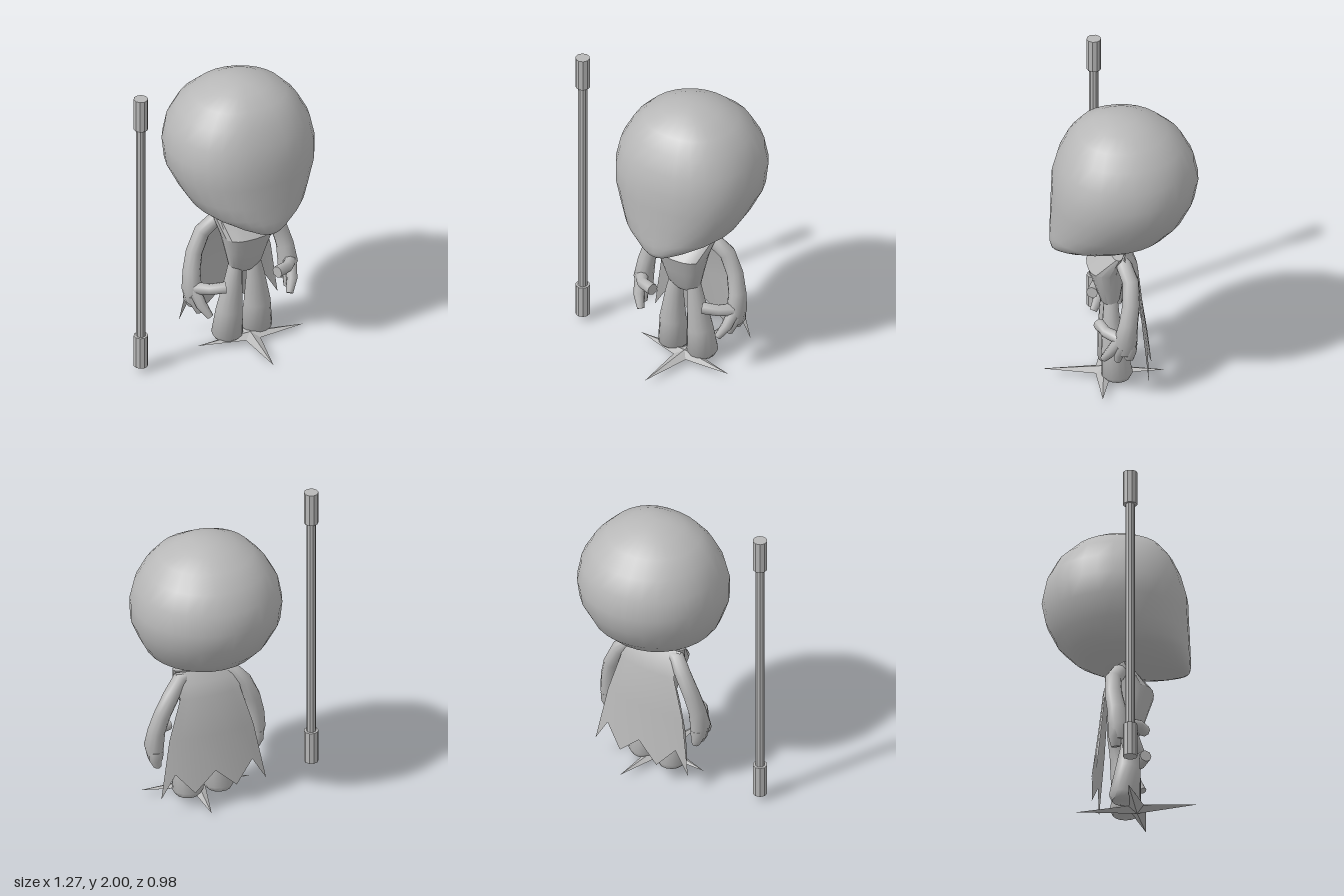
import * as THREE from 'three';
import { toCreasedNormals } from 'three/addons/utils/BufferGeometryUtils.js';

// Double sided because the cape is a single open sheet
const grey = new THREE.MeshStandardMaterial({ color: 0xb8b8b8, side: THREE.DoubleSide });
const V = (x, y, z) => new THREE.Vector3(x, y, z);

function add(parent, name, geometry) {
  const mesh = new THREE.Mesh(geometry, grey);
  mesh.name = name;
  parent.add(mesh);
  return mesh;
}

function build(points, index, crease) {
  const g = new THREE.BufferGeometry().setFromPoints(points);
  g.setIndex(index);
  g.computeVertexNormals();
  return toCreasedNormals(g, crease);
}

// Skin closed rings of points, closing both ends with a fan to a centre point
function loft(rings, start, end, crease = 0.8) {
  const n = rings[0].length, index = [], points = rings.flat();
  const centre = r => r.reduce((s, p) => s.add(p), V(0, 0, 0)).divideScalar(n);
  const first = points.length, last = first + 1, top = (rings.length - 1) * n;
  points.push(start || centre(rings[0]), end || centre(rings[rings.length - 1]));
  for (let i = 0; i < n; i++) {
    const j = (i + 1) % n;
    for (let k = 0; k < top; k += n) {
      index.push(k + i, k + n + i, k + j, k + j, k + n + i, k + n + j);
    }
    index.push(first, i, j, last, top + j, top + i);
  }
  return build(points, index, crease);
}

// Horizontal superellipse slice: height, half width, back z, front z
function slice([y, w, back, front], power, n) {
  const mid = (back + front) / 2, depth = (front - back) / 2;
  const round = (v, p) => Math.sign(v) * Math.abs(v) ** (2 / p);
  return Array.from({ length: n }, (_, i) => {
    const a = i / n * Math.PI * 2, c = Math.cos(a), s = Math.sin(a);
    const p = s > 0 ? power : 2;
    return V(w * round(c, p), y, mid + depth * round(s, p));
  });
}

// Tapered limb through [x, y, z, radius across, radius deep], mirrored by side
function limb(side, stations, n = 12) {
  const c = stations.map(s => V(side * s[0], s[1], s[2]));
  const rings = stations.map(([, , , ru, rw], k) => {
    const t = c[Math.min(k + 1, c.length - 1)].clone().sub(c[Math.max(k - 1, 0)]).normalize();
    const u = t.clone().cross(V(0, 0, 1)).normalize();
    const w = u.clone().cross(t);
    return Array.from({ length: n }, (_, i) => {
      const a = i / n * Math.PI * 2;
      return c[k].clone().addScaledVector(u, ru * Math.cos(a)).addScaledVector(w, rw * Math.sin(a));
    });
  });
  return loft(rings, null, null, 1.1);
}

function makeCape() {
  const hem = [[-0.355, 0.13], [-0.26, 0.29], [-0.14, 0.15], [0, 0.28], [0.14, 0.15], [0.26, 0.29], [0.355, 0.13]];
  // Each row: height, half width, z at the edges, z at the middle
  const rows = [[0.945, 0.2, 0, -0.03], [0.88, 0.2, -0.05, -0.075], [0.79, 0.205, -0.085, -0.11], [0.52, 0.285, -0.105, -0.14]];
  const points = [], index = [], n = hem.length;
  for (const [y, w, edge, mid] of rows) {
    hem.forEach(([x]) => {
      const u = x / 0.355;
      points.push(V(u * w, y, mid + (edge - mid) * u * u));
    });
  }
  hem.forEach(([x, y]) => points.push(V(x, y, -0.19 + 0.4 * x * x + (y - 0.15) * 0.12)));
  for (let r = 0; r < rows.length; r++) {
    for (let i = 0; i < n - 1; i++) {
      const a = r * n + i, b = a + n;
      index.push(a, a + 1, b, a + 1, b + 1, b);
    }
  }
  return build(points, index, 0.4);
}

function makeStar() {
  // Four long tips with short notches between them
  const outline = [];
  for (let i = 0; i < 4; i++) {
    const a = i * Math.PI / 2 + 0.13;
    const r = i % 2 ? 0.388 : 0.358;
    outline.push(V(r * Math.cos(a), 0.037, r * Math.sin(a)));
    outline.push(V(0.07 * Math.cos(a + 0.785), 0.035, 0.07 * Math.sin(a + 0.785)));
  }
  return loft([outline], V(0, 0, 0), V(0, 0.062, 0), 0.1);
}

function makeStaff() {
  const staff = new THREE.Group();
  staff.name = 'staff';
  const pieces = [['shaft', 0.03, 0.2, 1.82], ['lowerGrip', 0.046, 0.04, 0.26], ['upperGrip', 0.046, 1.78, 2]];
  for (const [name, r, y0, y1] of pieces) {
    const g = new THREE.CylinderGeometry(r, r, y1 - y0, 10);
    add(staff, name, toCreasedNormals(g, 0.3)).position.y = (y0 + y1) / 2;
  }
  staff.position.set(-0.592, 0, 0.078);
  return staff;
}

export function createModel() {
  const model = new THREE.Group();
  model.name = 'figureWithStaff';
  const body = new THREE.Group();
  body.name = 'figure';
  body.position.x = 0.16;
  model.add(body, makeStaff());

  // Large head with a flattened face and a low chin
  const head = [
    [0.95, 0.05, 0.24, 0.41], [0.97, 0.12, 0.03, 0.435], [1.0, 0.2, -0.1, 0.443],
    [1.05, 0.3, -0.24, 0.443], [1.09, 0.355, -0.31, 0.44], [1.18, 0.405, -0.4, 0.437],
    [1.32, 0.468, -0.468, 0.43], [1.45, 0.475, -0.493, 0.425], [1.58, 0.45, -0.465, 0.39],
    [1.7, 0.385, -0.4, 0.335], [1.79, 0.3, -0.3, 0.265], [1.85, 0.185, -0.19, 0.17],
    [1.878, 0.09, -0.1, 0.09],
  ];
  add(body, 'head', loft(head.map(s => slice(s, 2.3, 28)), null, V(0, 1.886, 0), 1.2));
  add(body, 'neck', new THREE.CylinderGeometry(0.05, 0.05, 0.16, 12)).position.set(0, 0.97, 0.03);

  // Torso tapering from the shoulders to the hips
  const torso = [
    [0.52, 0.06, 0.03, 0.1], [0.57, 0.11, 0.0, 0.13], [0.69, 0.14, -0.02, 0.17],
    [0.81, 0.172, -0.04, 0.21], [0.95, 0.208, -0.02, 0.075],
  ];
  add(body, 'torso', loft(torso.map(s => slice(s, 2.6, 20)), null, null, 0.5));
  add(body, 'cape', makeCape());
  add(body, 'floorStar', makeStar()).position.set(0.02, 0.004, 0.105);

  // Limbs on both sides
  for (const [side, label] of [[1, 'left'], [-1, 'right']]) {
    add(body, label + 'Leg', limb(side, [
      [0.105, 0.035, 0.03, 0.08, 0.08], [0.105, 0.065, 0.03, 0.1, 0.1], [0.1, 0.25, 0.05, 0.085, 0.08],
      [0.08, 0.45, 0.065, 0.06, 0.055], [0.065, 0.57, 0.065, 0.045, 0.045],
    ], 14));
    add(body, label + 'Arm', limb(side, [
      [0.335, 0.35, 0.0, 0.045, 0.06], [0.345, 0.44, 0.005, 0.06, 0.075], [0.335, 0.56, -0.015, 0.055, 0.06],
      [0.305, 0.68, -0.035, 0.052, 0.055], [0.245, 0.81, -0.04, 0.052, 0.052],
      [0.17, 0.895, -0.005, 0.048, 0.05], [0.1, 0.915, 0.01, 0.025, 0.03],
    ]));
    const hand = new THREE.Group();
    hand.name = label + 'Hand';
    body.add(hand);
    add(hand, 'thumb', limb(side, [
      [0.34, 0.46, 0.04, 0.04, 0.04], [0.28, 0.475, 0.12, 0.036, 0.036], [0.185, 0.48, 0.155, 0.038, 0.038],
    ], 8));
    add(hand, 'indexFinger', limb(side, [
      [0.345, 0.45, 0.04, 0.04, 0.04], [0.325, 0.36, 0.095, 0.036, 0.034], [0.285, 0.285, 0.135, 0.022, 0.024],
    ], 8));
    add(hand, 'middleFinger', limb(side, [
      [0.345, 0.41, 0.03, 0.045, 0.04], [0.33, 0.35, 0.045, 0.042, 0.036], [0.315, 0.285, 0.05, 0.024, 0.022],
    ], 8));
    add(hand, 'littleFinger', limb(side, [
      [0.345, 0.42, -0.025, 0.045, 0.045], [0.345, 0.36, -0.025, 0.042, 0.04], [0.33, 0.305, -0.02, 0.026, 0.03],
    ], 8));
  }
  return model;
}
